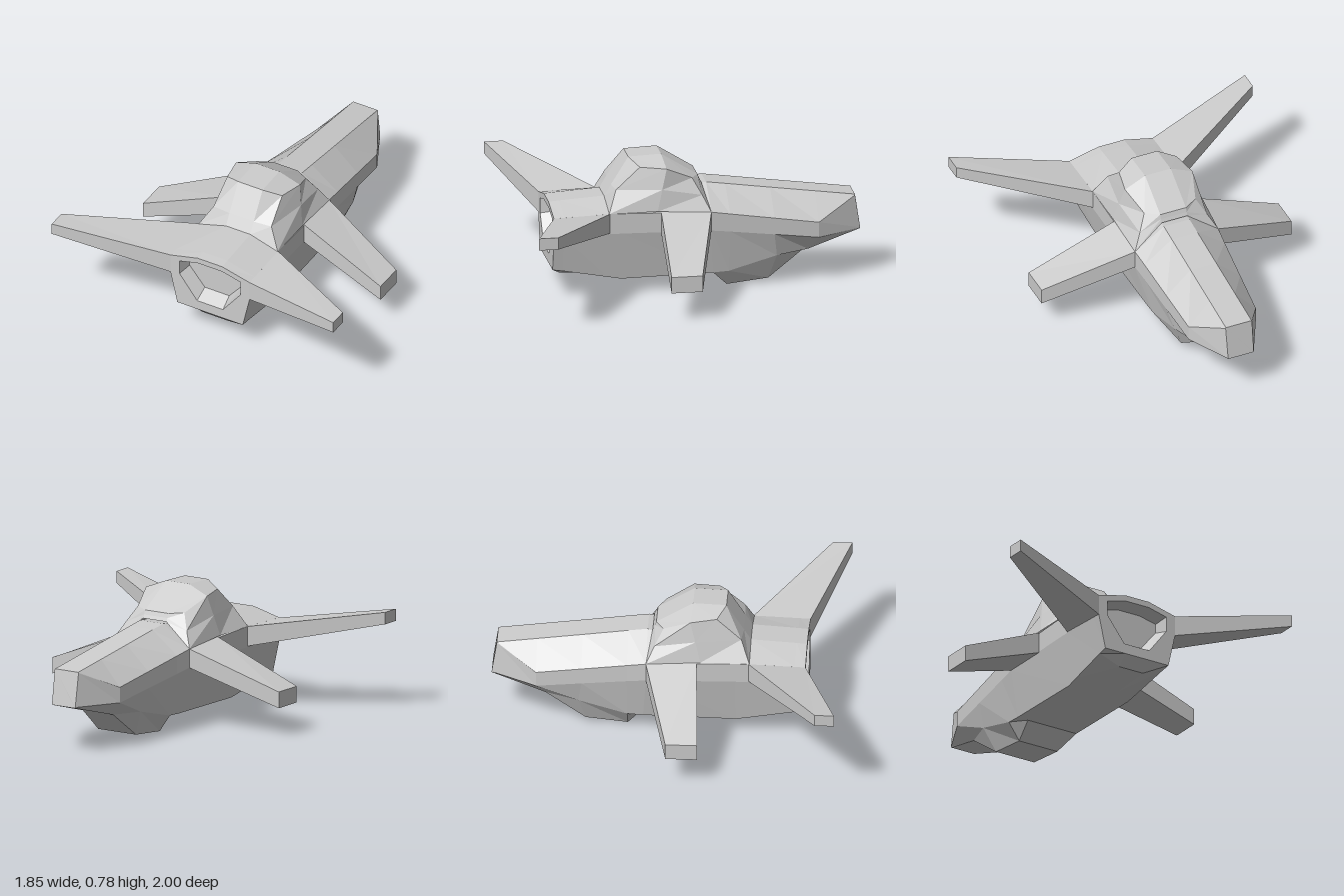
import * as THREE from 'three';

const material = new THREE.MeshStandardMaterial({ color: 0xcccccc, flatShading: true, side: THREE.DoubleSide });

// Mirror a run of points across x = 0, reversing it so the winding is kept
const mirror = (pts) => pts.map(([x, y, z]) => [-x, y, z]).reverse();
const full = (half) => [...half, ...mirror(half)];

// Skin a series of equal-length cross-sections with flat faces
function loft(name, rows, { closed = true, capStart = false, capEnd = false } = {}) {
  const pos = [];
  const tri = (a, b, c) => pos.push(...a, ...b, ...c);
  const n = rows[0].length;
  for (let r = 0; r < rows.length - 1; r++) {
    for (let i = 0; i < (closed ? n : n - 1); i++) {
      const j = (i + 1) % n;
      const [a, b, c, d] = [rows[r][i], rows[r][j], rows[r + 1][j], rows[r + 1][i]];
      tri(a, b, c);
      tri(a, c, d);
    }
  }
  const cap = (ring) => {
    for (let i = 1; i < n - 1; i++) tri(ring[0], ring[i], ring[i + 1]);
  };
  if (capStart) cap([...rows[0]].reverse());
  if (capEnd) cap(rows[rows.length - 1]);
  const geo = new THREE.BufferGeometry();
  geo.setAttribute('position', new THREE.Float32BufferAttribute(pos, 3));
  geo.computeVertexNormals();
  const mesh = new THREE.Mesh(geo, material);
  mesh.name = name;
  return mesh;
}

// Half sections: roof edge, shoulder, side, lower corner, belly edge
const at = (z, pts) => pts.map(([x, y, dz = 0]) => [x, y, z + dz]);

function createHull() {
  const intake = [
    at(0.72, [[0.07, 0.475], [0.18, 0.45], [0.18, 0.395], [0.08, 0.275], [0.07, 0.275]]),
    at(0.8, [[0.08, 0.5], [0.2, 0.47], [0.2, 0.38], [0.085, 0.23], [0.075, 0.23]]),
  ];
  const body = [
    at(0.8, [[0.08, 0.535], [0.26, 0.49], [0.26, 0.37], [0.215, 0.17], [0.08, 0.17]]),
    at(0.74, [[0.08, 0.54], [0.26, 0.492], [0.26, 0.372], [0.213, 0.16], [0.08, 0.11]]),
    at(0.48, [[0.08, 0.555], [0.26, 0.5], [0.26, 0.38], [0.204, 0.108], [0.08, 0.094]]),
    at(0.4, [[0.08, 0.555], [0.26, 0.498], [0.26, 0.38], [0.2, 0.092], [0.08, 0.09]]),
    at(-0.11, [[0.08, 0.605], [0.26, 0.48], [0.26, 0.37], [0.2, 0.1, -0.02], [0.13, 0.1, -0.02]]),
  ];
  const tail = [
    at(-0.22, [[0.08, 0.59], [0.25, 0.46], [0.25, 0.355], [0.2, 0.105], [0.13, 0.005]]),
    at(-0.48, [[0.08, 0.553], [0.23, 0.415], [0.23, 0.318], [0.19, 0.18, -0.02], [0.13, 0.03, 0.02]]),
    at(-0.74, [[0.08, 0.517], [0.21, 0.37], [0.21, 0.28], [0.13, 0.19, 0.05], [0.08, 0.19, 0.05]]),
    at(-1, [[0.08, 0.485, 0.03], [0.082, 0.48, 0.03], [0.08, 0.285], [0.078, 0.28], [0.07, 0.28]]),
  ];
  return loft('hull', [...intake, ...body, ...tail].map(full), { capStart: true, capEnd: true });
}

function createCabin() {
  const cabin = new THREE.Group();
  cabin.name = 'cabin';
  // Walls: rings from the deck up to the roof edge, each running front to back
  const walls = [
    [[0.08, 0.555, 0.48], [0.26, 0.5, 0.48], [0.26, 0.5, 0.2], [0.26, 0.48, -0.11], [0.08, 0.61, -0.08]],
    [[0.08, 0.62, 0.44], [0.19, 0.62, 0.43], [0.235, 0.62, 0.17], [0.21, 0.57, -0.065], [0.08, 0.63, -0.07]],
    [[0.08, 0.78, 0.34], [0.18, 0.745, 0.29], [0.21, 0.735, 0.14], [0.16, 0.66, -0.015], [0.08, 0.655, -0.06]],
  ];
  // Roof: strips across, front to back
  const roof = [
    [[-0.18, 0.745, 0.29], [-0.08, 0.78, 0.34]],
    [[-0.21, 0.735, 0.14], [-0.08, 0.787, 0.15]],
    [[-0.16, 0.66, -0.015], [-0.08, 0.655, -0.06]],
  ];
  cabin.add(loft('cabinWalls', walls.map(full)));
  cabin.add(loft('cabinRoof', roof.map(full), { closed: false }));
  return cabin;
}

// Wing section: rear and front z with top and bottom heights
const section = (x, rear, front, rearTop, frontTop, frontLow, rearLow) => [
  [x, rearTop, rear], [x, frontTop, front], [x, frontLow, front], [x, rearLow, rear],
];

function createWings(name, root, tip) {
  const group = new THREE.Group();
  group.name = name + 's';
  const rows = [root, tip];
  group.add(loft(name + 'Left', rows, { capEnd: true }));
  group.add(loft(name + 'Right', rows.map(mirror), { capEnd: true }));
  return group;
}

export function createModel() {
  const model = new THREE.Group();
  model.name = 'spacecraft';
  model.add(createHull(), createCabin());
  // Front wings sweep forward and up
  model.add(createWings('frontWing',
    section(0.26, 0.475, 0.8, 0.5, 0.49, 0.37, 0.385),
    section(0.925, 0.89, 1, 0.59, 0.59, 0.52, 0.52)));
  // Rear wings droop
  model.add(createWings('rearWing',
    section(0.26, -0.11, 0.18, 0.48, 0.495, 0.37, 0.37),
    section(0.78, 0.03, 0.21, 0.27, 0.27, 0.175, 0.175)));
  return model;
}
